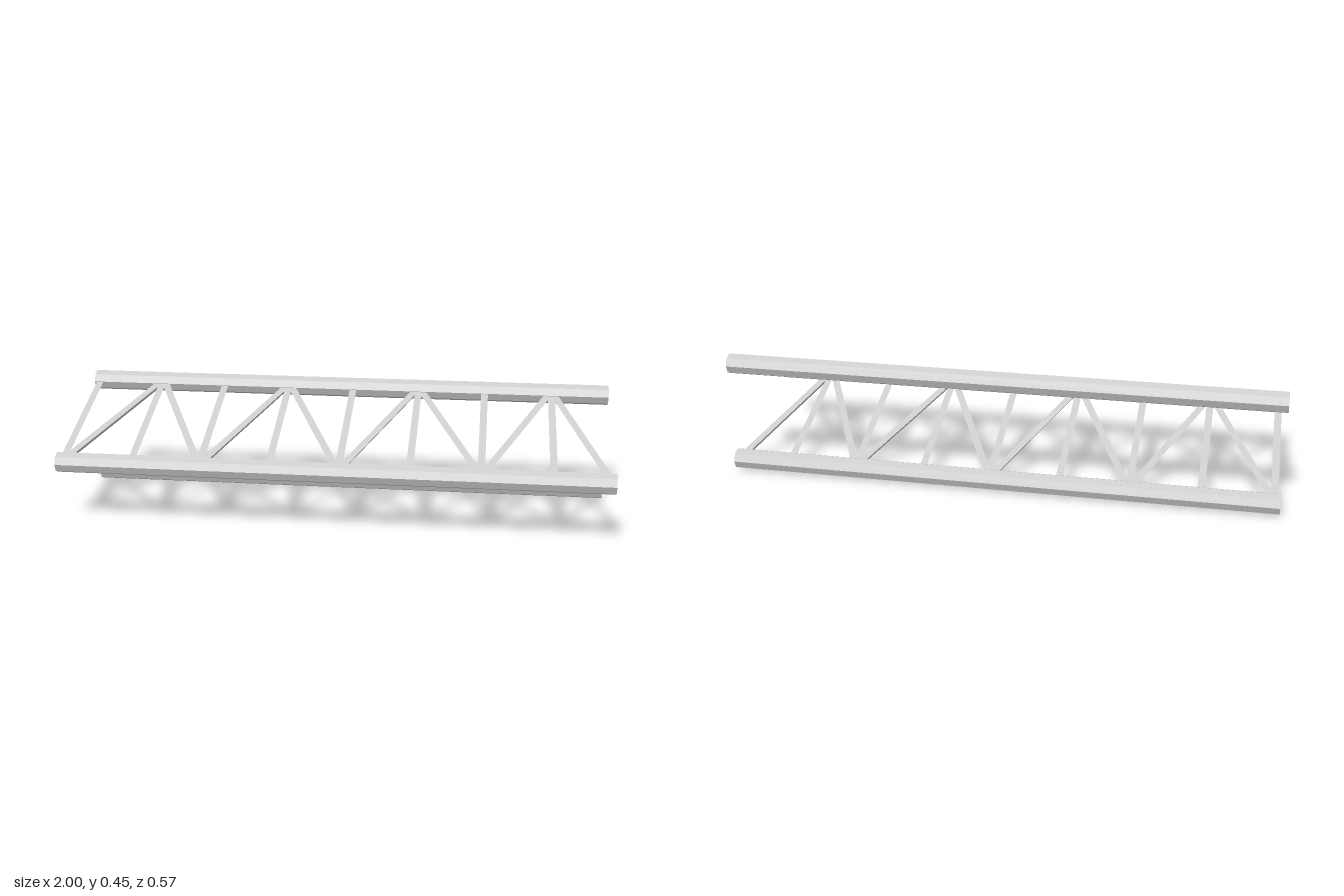
import * as THREE from 'three';

const material = new THREE.MeshStandardMaterial({ color: 0xcccccc, flatShading: true });

// chord centre lines in the (y, z) plane
const FRONT = { y: 0.226, z: 0.249 };
const TOP = { y: 0.414, z: -0.249 };
const BOTTOM = { y: 0.0378, z: -0.249 };

const CHORD_RADIUS = 0.0378;
const STRUT_RADIUS = 0.015;
const FIRST_POST = -0.979;
const SPACING = 0.2524;
const POSTS = 8;
const LAST_NODE = 0.985;

// octagonal tube along x
function chord(name, { y, z }) {
  const geometry = new THREE.CylinderGeometry(CHORD_RADIUS, CHORD_RADIUS, 2, 8);
  geometry.rotateZ(Math.PI / 2);
  const mesh = new THREE.Mesh(geometry, material);
  mesh.name = name;
  mesh.position.set(0, y, z);
  return mesh;
}

// three-sided bar from a to b, flat face along the normal and ridge opposite
function strut(name, a, b, normal) {
  const axis = b.clone().sub(a);
  const geometry = new THREE.CylinderGeometry(STRUT_RADIUS, STRUT_RADIUS, axis.length(), 3);
  geometry.translate(0, 0, -STRUT_RADIUS / 4);
  axis.normalize();
  const ridge = normal.clone().negate();
  const side = new THREE.Vector3().crossVectors(axis, ridge);
  const mesh = new THREE.Mesh(geometry, material);
  mesh.name = name;
  mesh.quaternion.setFromRotationMatrix(new THREE.Matrix4().makeBasis(side, axis, ridge));
  mesh.position.copy(a).add(b).multiplyScalar(0.5);
  return mesh;
}

// one lattice side: square posts plus zigzag diagonals
function lattice(name, start, other) {
  const group = new THREE.Group();
  group.name = name;
  const at = (x, c) => new THREE.Vector3(x, c.y, c.z);
  const normal = new THREE.Vector3(0, Math.abs(start.z - other.z), 0);
  normal.z = -(start.y - other.y) * Math.sign(start.z - other.z);
  normal.normalize();

  for (let i = 0; i < POSTS; i++) {
    const x = FIRST_POST + i * SPACING;
    const next = i === POSTS - 1 ? LAST_NODE : x + SPACING;
    const [from, to] = i % 2 ? [other, start] : [start, other];
    group.add(strut('post', at(x, start), at(x, other), normal));
    group.add(strut('diagonal', at(x, from), at(next, to), normal));
  }
  return group;
}

export function createModel() {
  const truss = new THREE.Group();
  truss.name = 'truss';
  truss.add(
    chord('frontChord', FRONT),
    chord('topBackChord', TOP),
    chord('bottomBackChord', BOTTOM),
    lattice('upperLattice', FRONT, TOP),
    lattice('lowerLattice', BOTTOM, FRONT)
  );
  return truss;
}
